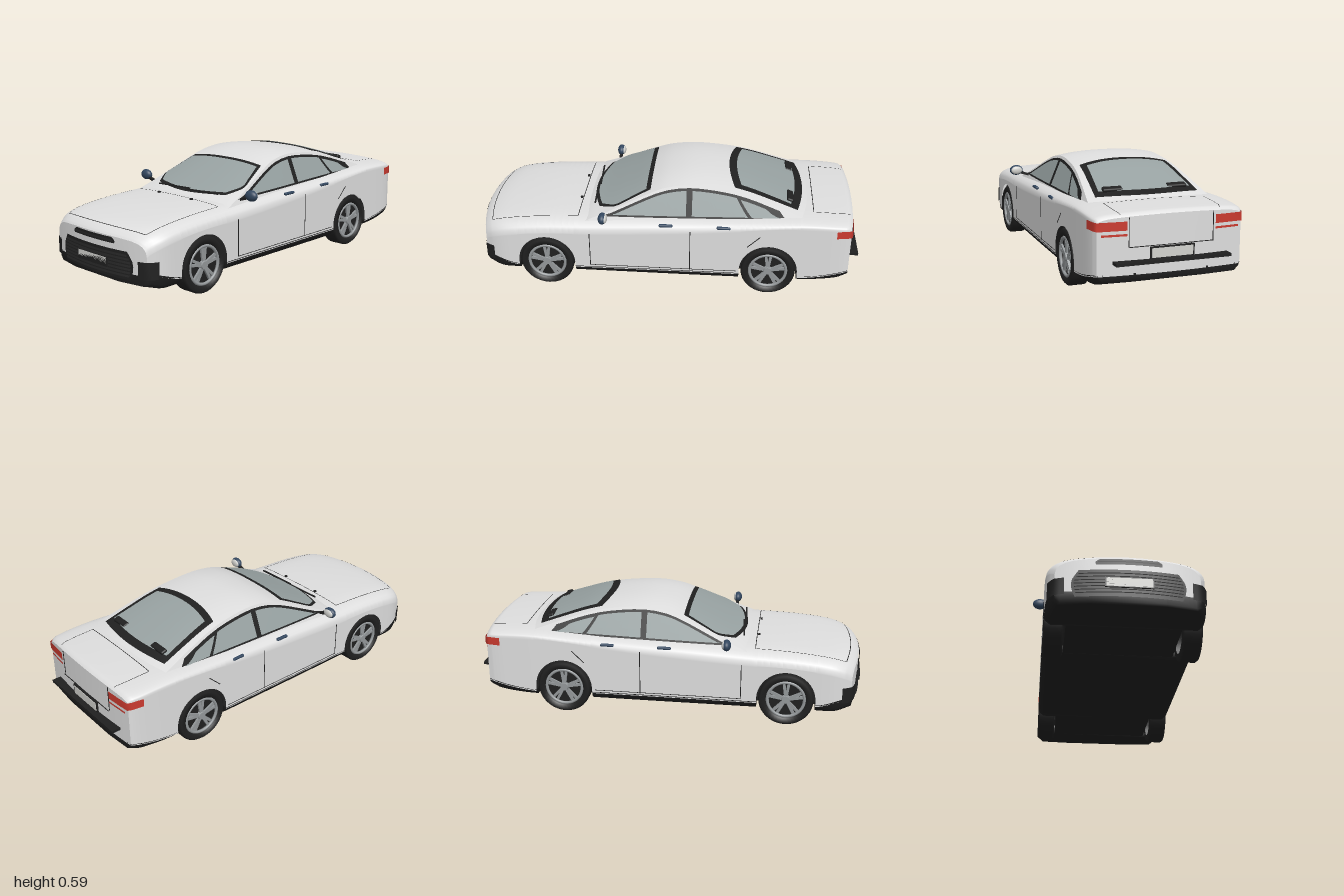
import * as THREE from 'three';
import { RoundedBoxGeometry } from 'three/addons/geometries/RoundedBoxGeometry.js';

const mat = (name, color) => Object.assign(
  new THREE.MeshStandardMaterial({ color, side: THREE.DoubleSide }), { name });
const white = mat('bodyWhite', 0xdedede), black = mat('trimBlack', 0x202020),
  glass = mat('glassGrey', 0x98a2a2), blue = mat('mirrorBlue', 0x33475f),
  red = mat('lampRed', 0xcb3a2f), silver = mat('rimSilver', 0x94989a),
  plateGrey = mat('plateGrey', 0xd2d2ce);

const { lerp, smoothstep } = THREE.MathUtils;
const range = (a, b, n) => Array.from({ length: n + 1 }, (_, i) => lerp(a, b, i / n));

// Smooth curve through [z, value] pairs in ascending z
const curve = pts => z => {
  const n = pts.length - 1;
  if (z <= pts[0][0]) return pts[0][1];
  if (z >= pts[n][0]) return pts[n][1];
  const i = pts.findIndex((p, k) => k < n && z < pts[k + 1][0]);
  const slope = k => {
    const a = pts[Math.max(k - 1, 0)], b = pts[Math.min(k + 1, n)];
    return (b[1] - a[1]) / (b[0] - a[0]);
  };
  const [z0, y0] = pts[i], [z1, y1] = pts[i + 1], h = z1 - z0, t = (z - z0) / h;
  const s = t * t * (3 - 2 * t);
  return lerp(y0, y1, s) + h * t * (1 - t) * ((1 - t) * slope(i) - t * slope(i + 1));
};

// Grid surface from a rule f(u, v) -> [x, y, z]
function surface(us, vs, f) {
  const pos = [], idx = [], m = vs.length;
  us.forEach(u => vs.forEach(v => pos.push(...f(u, v))));
  for (let i = 0; i < us.length - 1; i++) for (let j = 0; j < m - 1; j++) {
    const a = i * m + j;
    idx.push(a, a + 1, a + m, a + 1, a + m + 1, a + m);
  }
  const g = new THREE.BufferGeometry();
  g.setAttribute('position', new THREE.Float32BufferAttribute(pos, 3));
  g.setIndex(idx);
  g.computeVertexNormals();
  return g;
}

// Body rules: half width, top height, lower edge, plan bow of the two ends
const NOSE = 0.99, TAIL = -0.965, AXLES = [0.62, -0.535], ARCH = 0.15;
const halfW = curve([[TAIL, .352], [-.93, .363], [-.85, .369], [-.6, .372], [.6, .372], [.8, .37], [.9, .364], [.95, .352], [NOSE, .33]]);
const topH = curve([[TAIL, .42], [-.95, .432], [-.9, .437], [-.7, .443], [-.5, .435], [-.2, .42], [.1, .41],
  [.4, .396], [.65, .386], [.85, .366], [.93, .35], [.975, .33], [NOSE, .315]]);
const baseH = curve([[TAIL, .15], [-.7, .108], [-.4, .115], [.47, .115], [.77, .112], [.97, .15]]);
const lowH = curve([[TAIL, .12], [-.9, .1], [-.7, .082], [.77, .08], [.9, .08], [.985, .1]]);
const bow = (x, z) => (x / .35) ** 2 * (z > 0 ? -.05 * smoothstep(z, .75, NOSE) : .02 * smoothstep(-z, .8, .965));
const warp = (x, y, z) => [x, y, z + bow(x, z)];
const bodyTop = (q, z) => {
  const r = lerp(.02, .06, smoothstep(z, -.9, .3));
  return topH(z) - .013 * q * q - r * (1 - Math.sqrt(Math.max(0, 1 - Math.abs(q) ** 10)));
};
const archedBase = z => {
  let b = baseH(z);
  for (const c of AXLES) if (Math.abs(z - c) < ARCH) b = Math.max(b, .14 + Math.sqrt(ARCH ** 2 - (z - c) ** 2));
  return b;
};

// Cabin rules: roof line and leaning sides
const roof = curve([[-.76, .432], [-.69, .456], [-.55, .505], [-.42, .547], [-.3, .572], [-.125, .586], [0, .57],
  [.09, .538], [.22, .48], [.33, .431], [.385, .41], [.42, .394]]);
const sideX = y => .315 - .42 * (y - .41);
const roofY = (x, z) => roof(z) - .022 * (Math.abs(x) / sideX(roof(z) - .022)) ** 2.5;
const belt = z => lerp(.408, .422, smoothstep(-z, -.3, .6));

export function createModel() {
  const car = new THREE.Group();
  car.name = 'car';
  const add = (name, geo, m, parent = car) => {
    const mesh = new THREE.Mesh(geo, m);
    mesh.name = name;
    parent.add(mesh);
    return mesh;
  };
  const box = (name, m, w, h, d, x, y, z) => {
    const b = add(name, new THREE.BoxGeometry(w, h, d), m);
    b.position.set(x, y, z);
    return b;
  };

  // Body shell with open wheel arches
  const stations = [...range(TAIL, NOSE, 60), -.96, -.95, -.94, .95, .965, .98, .985];
  for (const c of AXLES) {
    for (let k = 0; k <= 20; k++) stations.push(c + .1499 * Math.cos(k * Math.PI / 20));
    stations.push(c - .1503, c + .1503);
  }
  stations.sort((a, b) => a - b);
  const half = [0, .2, .4, .6, .75, .86, .93, .97, .99, 1, 1.04, 1.3, 1.7, 2];
  const ring = [...half.slice(1).reverse().map(v => -v), ...half];
  add('bodyShell', surface(stations, ring, (z, v) => {
    const q = Math.min(Math.abs(v), 1), s = Math.abs(v) - q;
    return warp(Math.sign(v) * q * halfW(z), lerp(bodyTop(q, z), archedBase(z), s), z);
  }), white);
  const qs = [...half.slice(1, 10).reverse().map(v => -v), ...half.slice(0, 10)];
  for (const [name, z] of [['noseFace', NOSE], ['tailFace', TAIL]])
    add(name, surface(qs, range(0, 1, 4), (q, v) => warp(q * halfW(z), lerp(baseH(z), bodyTop(q, z), v), z)), white);

  // Black lower body between and beyond the wheels, plus centre floor
  const lower = [[TAIL, -.685], [-.385, .47], [.77, .987]];
  for (const [a, b] of lower) {
    const zs = range(a, b, 12);
    add('lowerTrim', surface([-1, ...zs.keys(), 13], [-4, -3, -2, -1, 1, 2, 3, 4], (i, v) => {
      const z = zs[Math.min(Math.max(i, 0), 12)], w = halfW(z), top = baseH(z) + .008;
      const low = i < 0 || i > 12 ? top : lowH(z);
      const k = Math.abs(v), x = [0, .5, .92, .985, 1.003][k] * w;
      return warp(Math.sign(v) * x, k === 4 ? top : k === 3 ? Math.min(low + .02, top) : low, z);
    }), black);
  }
  box('floor', black, .54, .12, 1.5, 0, .142, .04);

  // Cabin shell
  const cabZ = range(-.76, .42, 56);
  add('roofShell', surface(cabZ, range(-1, 1, 20), (z, v) => {
    const x = v * sideX(roof(z) - .022);
    return [x, roofY(x, z), z];
  }), white);
  for (const s of [-1, 1])
    add('cabinSide', surface(cabZ, [0, 1], (z, v) => {
      const y = lerp(.37, roof(z) - .022, v);
      return [s * sideX(y), y, z];
    }), white);

  // Windscreen and rear window: black surround below, glass above
  const screen = (name, m, z0, z1, width, arc, lift) =>
    add(name, surface(range(0, 1, 18), range(-1, 1, 18), (u, v) => {
      const x = v * width(u), z = lerp(z0, z1, u) + arc(u) * (x / .25) ** 2;
      return [x, roofY(x, z) + lift, z];
    }), m);
  const frontW = curve([[0, .235], [.45, .265], [.75, .278], [1, .235]]);
  const frontArc = u => -.05 * u;
  screen('windscreenFrame', black, .082, .397, u => frontW(u) + .01, frontArc, .004);
  screen('windscreen', glass, .105, .38, frontW, frontArc, .008);
  screen('rearWindowFrame', black, -.315, -.705, u => lerp(.232, .262, u), u => lerp(-.04, .03, u), .004);
  screen('rearWindow', glass, -.355, -.665, u => lerp(.205, .235, u), u => lerp(-.04, .03, u), .008);

  // Side windows on both sides
  const pane = (name, m, s, a, b, shear, gap, drop, lift) =>
    add(name, surface(range(0, 1, 16), range(0, 1, 3), (u, v) => {
      const z0 = lerp(a, b, u), z = z0 + v * lerp(shear[0], shear[1], u);
      const low = belt(z) + drop, y = lerp(low, Math.max(low, roof(z) - gap), v);
      return [s * (sideX(y) + lift), y, z];
    }), m);

  const wheelWell = new THREE.CylinderGeometry(.151, .151, .1, 32, 1, false, 0, Math.PI).rotateZ(Math.PI / 2);
  const tyre = new THREE.LatheGeometry([[.1, -.046], [.13, -.047], [.14, -.036], [.14, .036], [.13, .047], [.103, .045], [.098, .02]]
    .map(p => new THREE.Vector2(...p)), 40).rotateZ(-Math.PI / 2);
  const rimRing = new THREE.TorusGeometry(.094, .008, 8, 40).rotateY(Math.PI / 2);
  const disc = new THREE.CylinderGeometry(.1, .1, .01, 32).rotateZ(Math.PI / 2);
  const hub = new THREE.CylinderGeometry(.02, .026, .02, 16).rotateZ(-Math.PI / 2);

  for (const s of [-1, 1]) {
    pane('sideWindowFrame', black, s, .34, -.62, [0, .04], .034, -.006, .003);
    pane('frontSideWindow', glass, s, .285, -.105, [0, 0], .046, .004, .006);
    pane('rearSideWindow', glass, s, -.135, -.42, [0, .06], .046, .004, .006);
    pane('quarterWindow', glass, s, -.44, -.59, [.06, .08], .05, .004, .006);

    // Wheels
    for (const c of AXLES) {
      const well = add('wheelWell', wheelWell, black);
      well.position.set(s * .305, .14, c);
      if (well.geometry.userData.up === undefined) {
        // turn the half drum so that its round side points up
        well.geometry.computeBoundingBox();
        const bb = well.geometry.boundingBox;
        if (bb.max.y < .1) well.geometry.rotateX(Math.PI);
        else if (bb.min.y < -.1) well.geometry.rotateX(bb.max.z > .1 ? -Math.PI / 2 : Math.PI / 2);
        well.geometry.userData.up = true;
      }
      const wheel = new THREE.Group();
      wheel.name = 'wheel';
      wheel.position.set(s * .325, .14, c);
      if (s < 0) wheel.rotation.y = Math.PI;
      car.add(wheel);
      add('tyre', tyre, black, wheel);
      add('rimBack', disc, black, wheel).position.x = .012;
      add('rimRing', rimRing, silver, wheel).position.x = .038;
      add('hub', hub, silver, wheel).position.x = .036;
      for (let k = 0; k < 10; k++) {
        const a = Math.floor(k / 2) * Math.PI * .4 + (k % 2 ? .14 : -.14);
        const spoke = add('spoke', new THREE.BoxGeometry(.012, .078, .014), silver, wheel);
        spoke.position.set(.034, .056 * Math.cos(a), .056 * Math.sin(a));
        spoke.rotation.x = a;
      }
    }

    // Door mirrors and handles
    const shell = add('mirror', new THREE.SphereGeometry(1, 24, 16), blue);
    shell.scale.set(.037, .028, .022);
    shell.position.set(s * .389, .429, .315);
    const face = add('mirrorGlass', new THREE.SphereGeometry(1, 20, 12), plateGrey);
    face.scale.set(.031, .022, .012);
    face.position.set(s * .389, .429, .302);
    box('mirrorStalk', black, .06, .012, .016, s * .345, .408, .315).rotation.z = s * .3;
    for (const z of [-.005, -.3]) {
      const h = add('doorHandle', new RoundedBoxGeometry(.018, .014, .07, 2, .006), blue);
      h.position.set(s * .364, .386, z);
    }

    // Door seams
    box('doorSeam', black, .002, .19, .004, s * .372, .227, .39);
    box('doorSeam', black, .002, .23, .004, s * .372, .245, -.13);
    box('sillSeam', black, .002, .003, .76, s * .372, .134, .01);
    box('rearDoorSeam', black, .002, .09, .004, s * .3725, .315, -.455).rotation.x = -.8;

    // Corner vents and tail lamps wrap round the ends
    const wrap = (name, m, path, y0, y1) => add(name, surface(path, [0, 1],
      (p, v) => [s * p[0], lerp(y0, y1, v), p[1]]), m);
    wrap('cornerVent', black, [[.288, .964], [.31, .957], [.334, .948], [.349, .928], [.362, .9]], .135, .218);
    wrap('tailLamp', red, [[.215, -.963], [.28, -.958], [.353, -.951], [.362, -.93], [.372, -.87]], .355, .396);
    wrap('tailLampStrip', red, [[.215, -.963], [.28, -.958], [.335, -.953]], .33, .34);
  }

  // Nose: lower grille with slats, upper grille, number plate
  const onNose = (x, lift) => NOSE + bow(x, NOSE) + lift;
  const grilleW = curve([[.12, .24], [.14, .25], [.2, .257], [.254, .225]]);
  const front = (name, m, width, y0, y1, lift0, lift1) =>
    add(name, surface(range(-1, 1, 16), range(0, 1, 6), (q, v) => {
      const y = lerp(y0, y1, v), x = q * width(y);
      return [x, y, onNose(x, lerp(lift0, lift1, v))];
    }), m);
  front('lowerGrille', black, grilleW, .12, .254, .003, .003);
  for (let i = 0; i < 7; i++) front('grilleSlat', black, y => grilleW(y) - .012, .135 + i * .016, .143 + i * .016, .009, .003);
  front('upperGrille', black, curve([[.28, .148], [.295, .15], [.309, .132]]), .281, .309, .003, .003);
  front('upperGrilleBar', black, () => .14, .291, .298, .008, .005);
  box('frontPlateFrame', black, .218, .05, .008, 0, .188, .996);
  box('frontPlate', plateGrey, .208, .042, .004, 0, .188, .998);

  // Hood and boot seams follow the body top
  const seam = (name, q0, z0, q1, z1) => add(name, surface(range(0, 1, 14), [-1, 1], (u, v) => {
    const across = z0 === z1, z = lerp(z0, z1, u) + (across ? v * .0018 : 0);
    const q = lerp(q0, q1, u) + (across ? 0 : v * .004);
    return warp(q * halfW(z), bodyTop(q, z) + .002, z);
  }), black);
  seam('hoodSeam', -.8, .455, .8, .455);
  seam('hoodFrontSeam', -.82, .945, .82, .945);
  seam('bootSeam', -.68, -.755, .68, -.755);
  for (const s of [-1, 1]) {
    seam('hoodSideSeam', s * .8, .455, s * .82, .945);
    seam('bootSideSeam', s * .68, -.755, s * .68, -.955);
    box('bootLidSeam', black, .003, .135, .003, s * .205, .345, -.959);
    box('washerJet', black, .012, .008, .012, s * .12, .396, .465);
    const wiper = box('wiper', black, .22, .006, .008, s * .1 + .01, .42, .383);
    wiper.rotation.set(0, .06, .015);
    const rest = add('rearShelfPad', new RoundedBoxGeometry(.1, .02, .035, 2, .008), black);
    rest.position.set(s * .165, roofY(.165, -.635) + .006, -.635);
    rest.rotation.x = -.33;
  }
  box('bootLidSeam', black, .41, .003, .003, 0, .278, -.965);

  // Tail: bumper bar and number plate
  box('rearBumperBar', black, .56, .014, .05, 0, .211, -.975);
  box('rearPlateFrame', black, .216, .058, .008, 0, .245, -.968);
  box('rearPlate', plateGrey, .2, .044, .004, 0, .245, -.972);

  return car;
}
